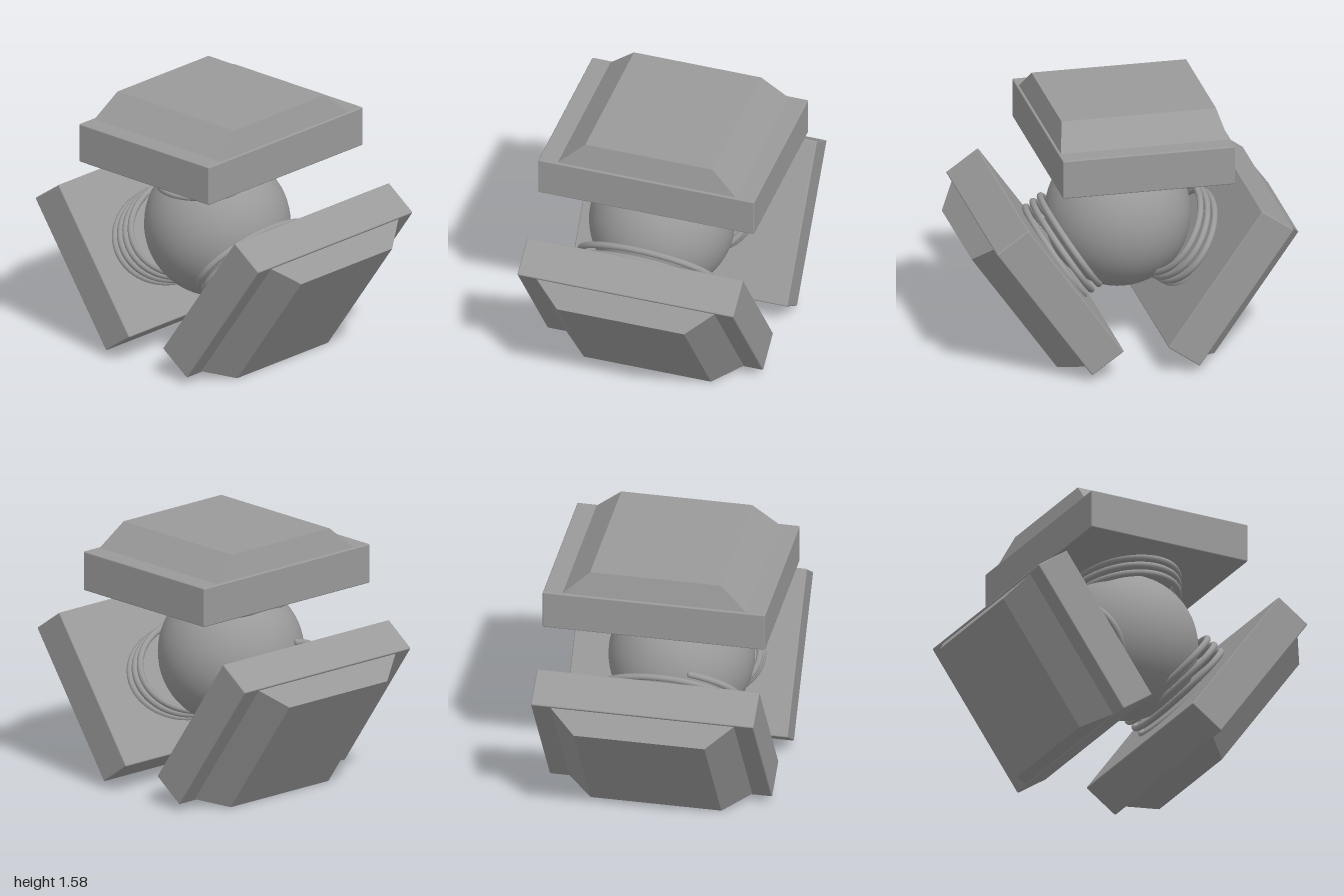
import * as THREE from 'three';
import { RoundedBoxGeometry } from 'three/addons/geometries/RoundedBoxGeometry.js';

const darkGrey = new THREE.MeshStandardMaterial({ color: 0x9a9a9a });

function part(name, geometry, parent) {
  const mesh = new THREE.Mesh(geometry, darkGrey);
  mesh.name = name;
  parent.add(mesh);
  return mesh;
}

// Flat-topped cap whose four sides slope inwards
function capGeometry(width, height) {
  const g = new THREE.BoxGeometry(1, height, 1);
  const p = g.attributes.position;
  for (let i = 0; i < p.count; i++) {
    const top = p.getY(i) > 0;
    p.setX(i, Math.sign(p.getX(i)) * (width / 2 - (top ? 0.055 : 0.015)));
    p.setZ(i, Math.sign(p.getZ(i)) * (top ? 0.4 : 0.56));
  }
  g.computeVertexNormals();
  return g;
}

// Oval coil winding down from inside the pad, in the pad's own frame
class Coil extends THREE.Curve {
  constructor(turns, depth, shift) {
    super();
    Object.assign(this, { turns, depth, shift });
  }
  getPoint(t, target = new THREE.Vector3()) {
    const a = 0.35 + (1 - t) * this.turns * Math.PI * 2;
    return target.set(
      this.shift + 0.285 * Math.cos(a),
      0.03 - t * (this.depth + 0.03),
      0.05 + 0.43 * Math.sin(a));
  }
}

// One pad with its cap and spring; local +y points away from the ball
function makePad({ name, x, y, angle, width, thickness, capHeight, turns, depth, shift }) {
  const pad = new THREE.Group();
  pad.name = name;
  pad.position.set(x, y, 0);
  pad.rotation.z = THREE.MathUtils.degToRad(angle);
  part('slab', new RoundedBoxGeometry(width, thickness, 1.36, 2, 0.008), pad).position.y = thickness / 2;
  part('slopedCap', capGeometry(width, capHeight), pad).position.y = thickness + capHeight / 2;
  const coil = new Coil(turns, depth, shift);
  part('spring', new THREE.TubeGeometry(coil, 240, 0.02, 10), pad);
  // Rounded free end of the wire
  part('springEnd', new THREE.SphereGeometry(0.02, 10, 8), pad).position.copy(coil.getPoint(1));
  return pad;
}

export function createModel() {
  const model = new THREE.Group();
  model.name = 'springPadBall';

  // Central ball
  part('ball', new THREE.SphereGeometry(0.44, 48, 32), model).position.set(0, 0.773, 0.06);

  // Three pads around the ball
  const pads = [
    { name: 'topPad', x: -0.025, y: 1.197, angle: 0, width: 1.06, thickness: 0.243, capHeight: 0.143, turns: 3, depth: 0.125, shift: 0.027 },
    { name: 'rightPad', x: -0.432, y: 0.59, angle: 125, width: 1.01, thickness: 0.237, capHeight: 0.148, turns: 3.9, depth: 0.175, shift: -0.015 },
    { name: 'leftPad', x: 0.4225, y: 0.594, angle: -125.2, width: 1.02, thickness: 0.24, capHeight: 0.148, turns: 3.3, depth: 0.155, shift: 0.045 },
  ];
  for (const spec of pads) model.add(makePad(spec));
  return model;
}
